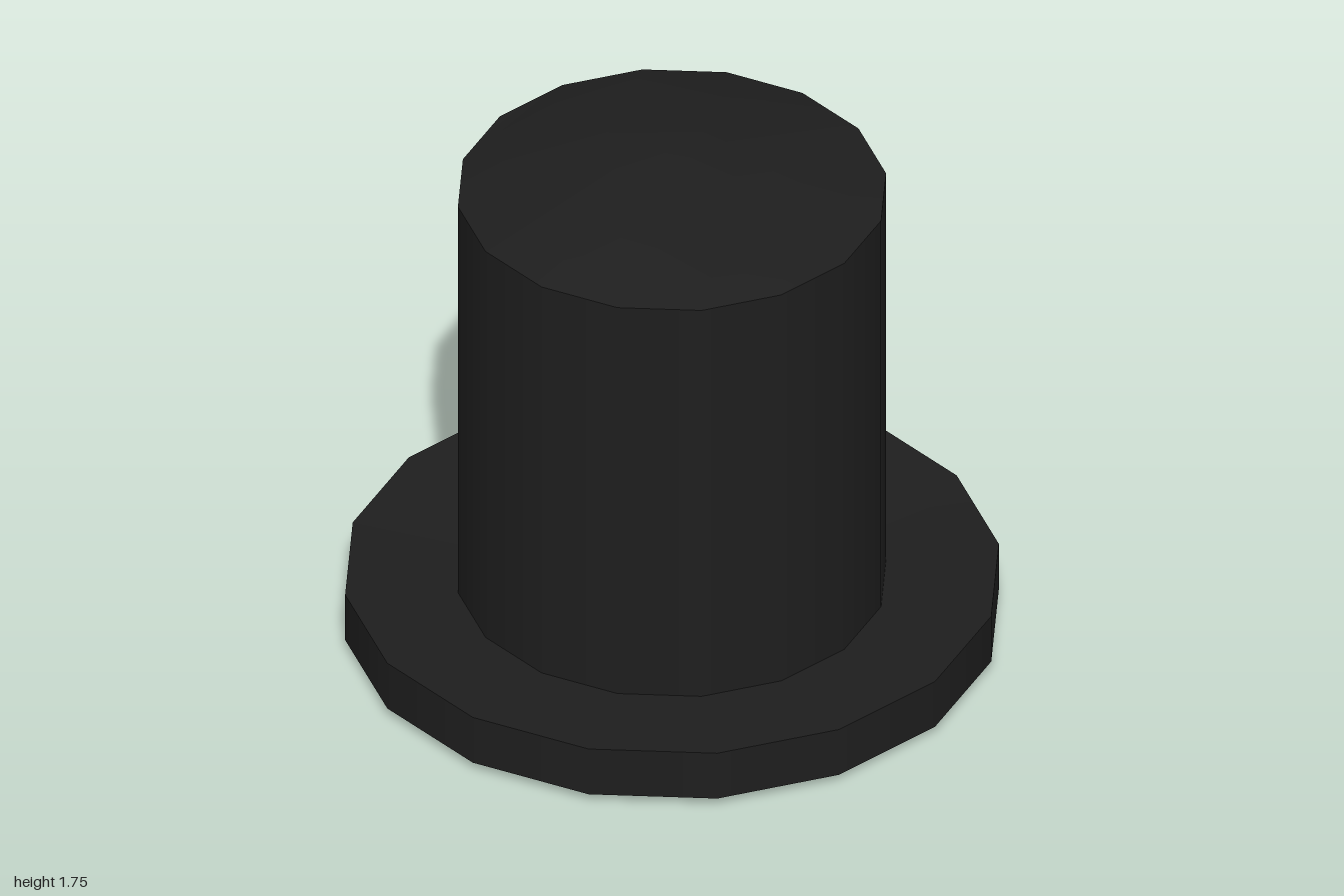
import * as THREE from 'three';

const SIDES = 16;

// Sixteen-sided end cap: a flat rim, two inner rings of four points and a centre point.
function capGeometry({ radius, rimY, midRadius, midY, innerRadius, innerY, centreY, facesUp }) {
  const points = [0, centreY, 0];
  const ring = (count, r, y) => {
    for (let i = 0; i < count; i++) {
      const a = (i / count) * Math.PI * 2;
      points.push(r * Math.cos(a), y, r * Math.sin(a));
    }
  };
  ring(4, innerRadius, innerY);
  ring(4, midRadius, midY);
  ring(SIDES, radius, rimY);

  const rim = (i) => 9 + ((i + SIDES) % SIDES);
  const index = [];
  const tri = (a, b, c) => index.push(...(facesUp ? [a, c, b] : [a, b, c]));
  for (let k = 0; k < 4; k++) {
    const next = (k + 1) % 4;
    const inner = 1 + k, innerNext = 1 + next;
    const mid = 5 + k, midNext = 5 + next;
    const at = 4 * k;
    const onX = k % 2 === 0;
    const fan = onX ? [-2, -1, 1, 2] : [-1, 0, 1];
    // Fan from the middle point to the rim
    for (let j = 0; j < fan.length - 1; j++) tri(mid, rim(at + fan[j]), rim(at + fan[j + 1]));
    if (onX) tri(rim(at - 1), rim(at), rim(at + 1));
    // Valley between this fan and the next
    const a = rim(at + fan[fan.length - 1]);
    const b = rim(at + fan[fan.length - 1] + 1);
    tri(inner, mid, a);
    tri(inner, a, innerNext);
    tri(innerNext, a, b);
    tri(innerNext, b, midNext);
    // Centre peak
    tri(0, inner, innerNext);
  }
  const geometry = new THREE.BufferGeometry();
  geometry.setAttribute('position', new THREE.Float32BufferAttribute(points, 3));
  geometry.setIndex(index);
  geometry.computeVertexNormals();
  return geometry;
}

// Open sixteen-sided surface turned from a two-point profile
function turned(r1, y1, r2, y2) {
  return new THREE.LatheGeometry([new THREE.Vector2(r1, y1), new THREE.Vector2(r2, y2)], SIDES);
}

export function createModel() {
  const hat = new THREE.Group();
  hat.name = 'topHat';
  const blackFelt = new THREE.MeshStandardMaterial({ color: 0x1e1e1e });
  blackFelt.name = 'blackFelt';

  const add = (name, geometry) => {
    const mesh = new THREE.Mesh(geometry, blackFelt);
    mesh.name = name;
    hat.add(mesh);
  };

  // Brim, its top dished slightly towards the crown
  add('brimEdge', turned(1, 0.03, 1, 0.196));
  add('brimTop', turned(1, 0.196, 0.655, 0.172));
  add('brimUnderside', capGeometry({
    radius: 1, rimY: 0.03, midRadius: 0.72, midY: 0,
    innerRadius: 0.385, innerY: 0.05, centreY: 0.28, facesUp: false,
  }));

  // Crown
  add('crownWall', turned(0.655, 0.172, 0.655, 1.587));
  add('crownTop', capGeometry({
    radius: 0.655, rimY: 1.587, midRadius: 0.48, midY: 1.65,
    innerRadius: 0.25, innerY: 1.692, centreY: 1.75, facesUp: true,
  }));
  return hat;
}
